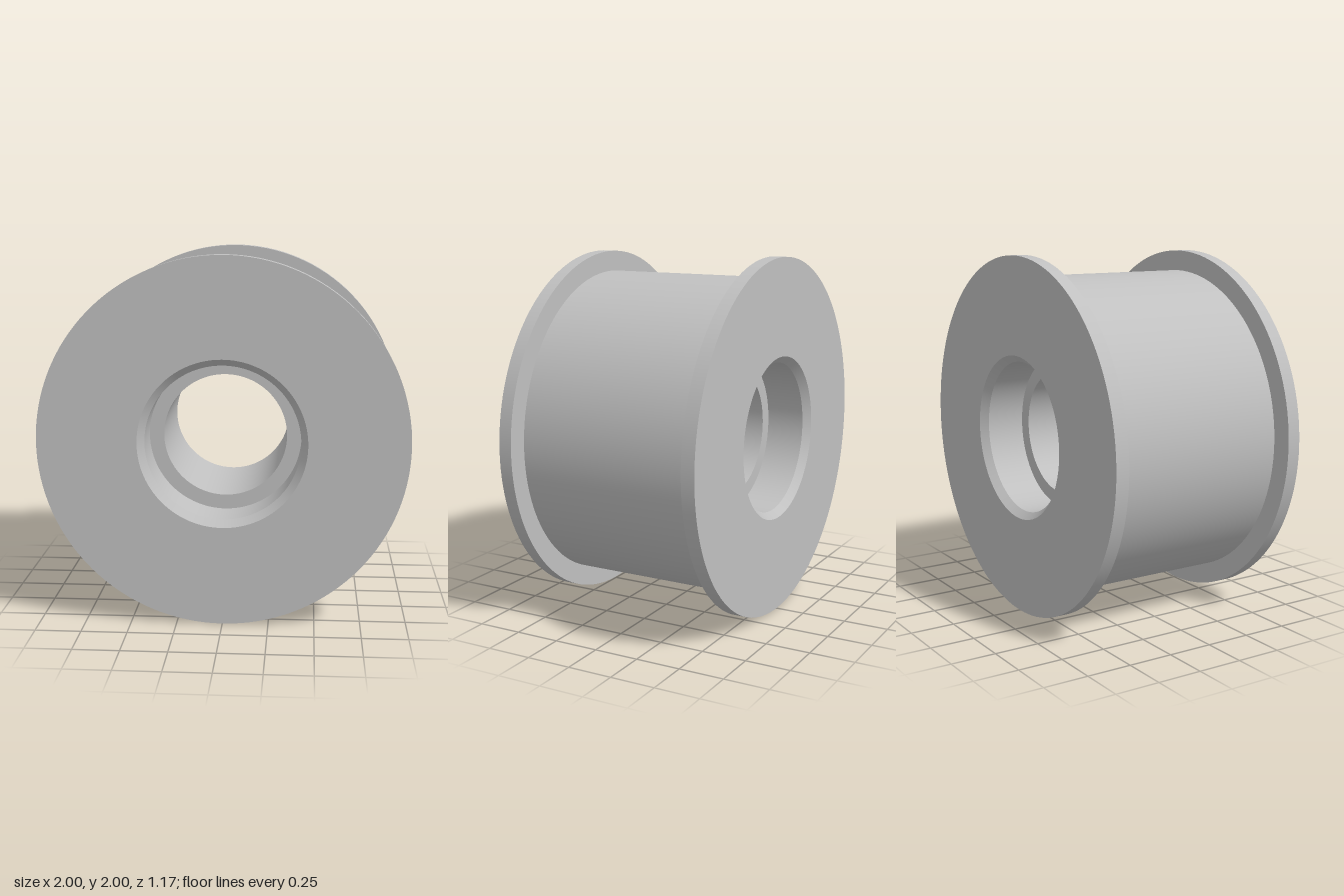
import * as THREE from 'three';
import { mergeGeometries } from 'three/addons/utils/BufferGeometryUtils.js';

const SEGMENTS = 128;

// Sharp-edged ring surface: every profile step [radius, z] is its own smooth band
function turned(profile) {
  const bands = [];
  for (let i = 0; i < profile.length - 1; i++) {
    const pair = [profile[i], profile[i + 1]].map(([r, z]) => new THREE.Vector2(r, z));
    bands.push(new THREE.LatheGeometry(pair, SEGMENTS));
  }
  return mergeGeometries(bands).rotateX(Math.PI / 2);
}

export function createModel() {
  const grey = new THREE.MeshStandardMaterial({ color: 0xc0c0c0 });
  grey.name = 'plain grey';

  const half = 0.585, flangeInner = 0.51;
  const rim = 1, barrel = 0.885, chamfer = 0.457, recess = 0.42, bore = 0.34;
  const recessFloor = half - 0.26;

  const roller = new THREE.Group();
  roller.name = 'flangedRoller';
  const add = (name, profile, parent = roller) => {
    const mesh = new THREE.Mesh(turned(profile), grey);
    mesh.name = name;
    parent.add(mesh);
  };

  // Barrel and through bore
  add('barrel', [[barrel, -flangeInner], [barrel, flangeInner]]);
  add('bore', [[bore, recessFloor], [bore, -recessFloor]]);

  // Each end: flange with face, then chamfered bearing recess
  for (const [side, turn] of [['front', 0], ['back', Math.PI]]) {
    const end = new THREE.Group();
    end.name = side + 'End';
    end.rotation.y = turn;
    add(side + 'Flange', [[barrel, flangeInner], [rim, flangeInner], [rim, half], [chamfer, half]], end);
    add(side + 'Recess', [[chamfer, half], [recess, half - 0.04], [recess, recessFloor], [bore, recessFloor]], end);
    roller.add(end);
  }

  roller.position.y = rim;
  const model = new THREE.Group();
  model.name = 'roller';
  model.add(roller);
  return model;
}
